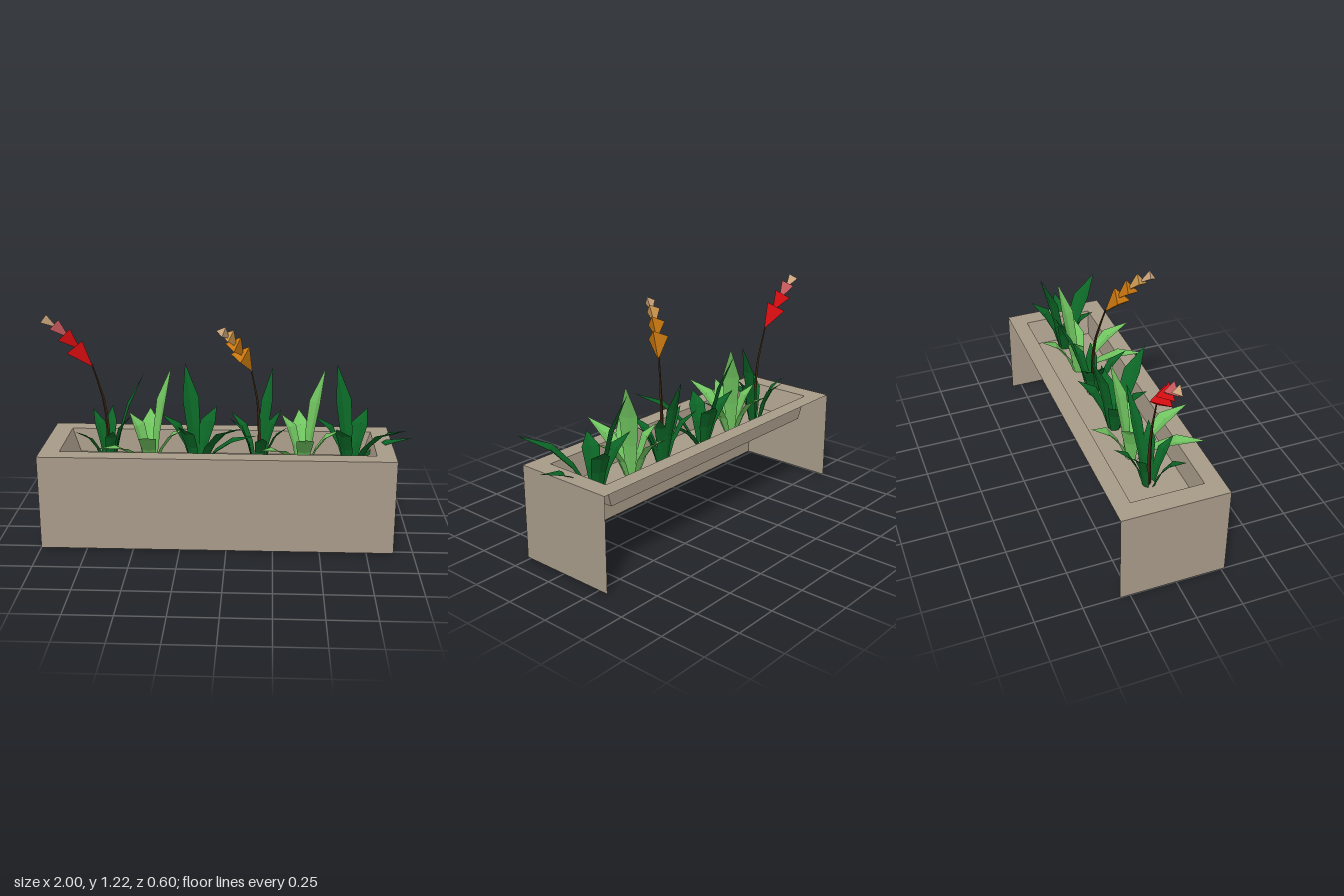
import * as THREE from 'three';

const mat = (name, color) => new THREE.MeshStandardMaterial({ name, color, side: THREE.DoubleSide });
const M = {
  stone: mat('warm grey stone', 0xa79a88),
  dark: mat('dark green', 0x0b6425),
  light: mat('light green', 0x70c460),
  stem: mat('brown stem', 0x3e2912),
  red: mat('red', 0xd00c10),
  pink: mat('faded red', 0xc4575b),
  orange: mat('orange', 0xca7810),
  amber: mat('pale orange', 0xd09a50),
  tan: mat('tan', 0xcba47a),
};
const V = (x, y, z) => new THREE.Vector3(x, y, z);
const SOIL = 0.385, RIM = 0.52;

// Flat-shaded mesh from a list of quads, each given as four corners
function quadMesh(name, quads, material) {
  const pts = quads.flatMap(([a, b, c, d]) => [a, b, c, a, c, d]);
  const g = new THREE.BufferGeometry().setFromPoints(pts);
  g.computeVertexNormals();
  const m = new THREE.Mesh(g, material);
  m.name = name;
  return m;
}

// Rectangle corners at one height, anticlockwise seen from above
const ring = (x0, x1, z0, z1, y) => [V(x0, y, z1), V(x1, y, z1), V(x1, y, z0), V(x0, y, z0)];
// Side quads joining an upper ring to a lower ring
const band = (up, low) => up.map((p, i) => [low[i], low[(i + 1) % 4], up[(i + 1) % 4], p]);

function planter() {
  const g = new THREE.Group();
  g.name = 'planter';
  const top = ring(-1, 0.895, -0.305, 0.27, RIM);
  const foot = ring(-1, 0.895, -0.305, 0.27, 0);
  const hole = ring(-0.895, 0.795, -0.215, 0.175, RIM);
  const bed = ring(-0.85, 0.75, -0.203, 0.16, SOIL);
  // The back and the underside are open
  const walls = band(top, foot).filter((_, i) => i !== 2);
  g.add(quadMesh('walls', walls, M.stone));
  g.add(quadMesh('rim', band(hole, top), M.stone));
  g.add(quadMesh('traySides', band(bed, hole), M.stone));
  g.add(quadMesh('soilBed', [bed], M.stone));
  return g;
}

// Creased blade arching from the plant's centre to a tip
function leaf([x, y, z], width, material) {
  const dir = V(x, 0, z).normalize();
  const side = V(dir.z, 0, -dir.x);
  const base = dir.clone().multiplyScalar(0.03).setY(SOIL - 0.012);
  const tall = y > 0.8;
  const ctrl = V(x * 0.4, SOIL + (y - SOIL) * (tall ? 0.58 : 0.8), z * 0.4);
  const curve = new THREE.QuadraticBezierCurve3(base, ctrl, V(x, y, z));
  const rows = [[0, 0.45], [0.32, 0.8], [0.62, 1], [1, 0]].map(([t, w]) => {
    const p = curve.getPoint(t);
    const n = curve.getTangent(t).cross(side).normalize();
    const fold = n.multiplyScalar(width * w * 0.14);
    const half = side.clone().multiplyScalar(width * w * 0.5);
    return [p.clone().sub(half).add(fold), p, p.clone().add(half).add(fold)];
  });
  const quads = [];
  for (let i = 0; i < rows.length - 1; i++)
    for (let k = 0; k < 2; k++)
      quads.push([rows[i][k], rows[i][k + 1], rows[i + 1][k + 1], rows[i + 1][k]]);
  return quadMesh('leaf', quads, material);
}

function plant(name, x, tips, width, material) {
  const g = new THREE.Group();
  g.name = name;
  g.position.set(x, 0, -0.02);
  for (const tip of tips) g.add(leaf(tip, width, material));
  return g;
}

// Thin stem whose thickness falls off towards the top
function stem() {
  const curve = new THREE.CatmullRomCurve3([
    V(0, SOIL - 0.012, 0), V(0, 0.58, 0), V(-0.015, 0.74, 0), V(-0.075, 0.95, -0.005)]);
  const g = new THREE.TubeGeometry(curve, 6, 0.013, 4);
  const p = g.attributes.position;
  for (let i = 0; i < p.count; i++) {
    const t = Math.floor(i / 5) / 6, c = curve.getPointAt(t);
    const v = V(0, 0, 0).fromBufferAttribute(p, i).sub(c).multiplyScalar(1 - 0.7 * t).add(c);
    p.setXYZ(i, v.x, v.y, v.z);
  }
  const flat = g.toNonIndexed();
  flat.computeVertexNormals();
  const m = new THREE.Mesh(flat, M.stem);
  m.name = 'stem';
  return m;
}

// Three-sided bloom, pointed at its foot and widening to a flat end
function bloom(from, to, radius, material) {
  const axis = to.clone().sub(from);
  const g = new THREE.ConeGeometry(radius, axis.length(), 3).rotateX(Math.PI).toNonIndexed();
  g.computeVertexNormals();
  const m = new THREE.Mesh(g, material);
  m.name = 'bloom';
  m.position.copy(from).lerp(to, 0.5);
  m.quaternion.setFromUnitVectors(V(0, 1, 0), axis.normalize());
  return m;
}

const BLOOMS = [ // foot, end, radius
  [[-0.07, 0.935, 0], [-0.16, 1.045, -0.015], 0.064],
  [[-0.135, 1.03, -0.01], [-0.215, 1.11, -0.02], 0.054],
  [[-0.19, 1.09, -0.015], [-0.268, 1.166, -0.018], 0.043],
  [[-0.255, 1.147, -0.015], [-0.325, 1.198, -0.016], 0.033],
];

// Leaf tips relative to each plant's centre
const SMALL = [[0.2, 0.89, -0.05], [0, 0.66, -0.19], [0.14, 0.68, 0.05],
  [-0.16, 0.61, 0.13], [0.05, 0.62, 0.15], [-0.1, 0.66, -0.13]];
const BROAD = [[-0.075, 0.92, -0.16], [0.1, 0.67, -0.17], [0.325, 0.57, 0.045],
  [0.26, 0.69, 0.28], [-0.09, 0.65, 0.15], [-0.2, 0.66, -0.05]];
const PALE = [[0.117, 0.92, -0.08], [-0.02, 0.64, -0.23], [-0.12, 0.66, -0.07],
  [-0.235, 0.58, 0.31], [0.01, 0.64, 0.31], [0.21, 0.61, 0.04]];

export function createModel() {
  const model = new THREE.Group();
  model.name = 'planterBox';
  model.add(planter());

  for (const x of [-0.17, 0.67]) model.add(plant('broadLeafPlant', x, BROAD, 0.095, M.dark));
  for (const x of [-0.43, 0.41]) model.add(plant('paleLeafPlant', x, PALE, 0.095, M.light));

  const flowering = [
    [-0.66, 0, [M.red, M.red, M.pink, M.tan]],
    [0.17, 0.98, [M.orange, M.orange, M.amber, M.tan]],
  ];
  for (const [x, turn, colours] of flowering) {
    const g = plant('floweringPlant', x, SMALL, 0.065, M.dark);
    g.rotation.y = turn;
    g.add(stem());
    BLOOMS.forEach(([a, b, r], i) => g.add(bloom(V(...a), V(...b), r, colours[i])));
    model.add(g);
  }
  return model;
}
